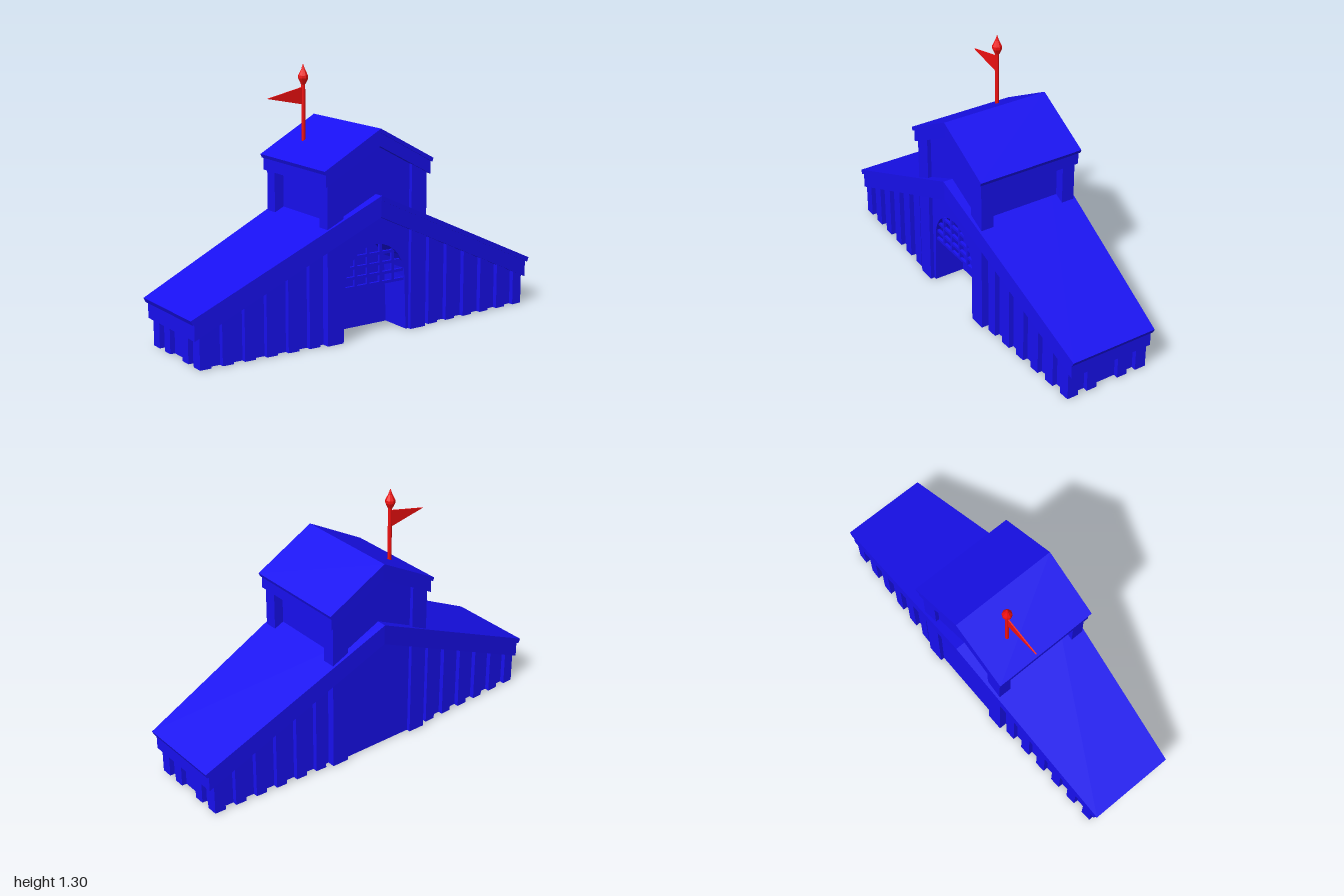
import * as THREE from 'three';

const blue = new THREE.MeshStandardMaterial({ color: 0x1810f0, flatShading: true, side: THREE.DoubleSide });
const red = new THREE.MeshStandardMaterial({ color: 0xf01010, flatShading: true, side: THREE.DoubleSide });

function part(parent, name, geometry, material = blue) {
  const mesh = new THREE.Mesh(geometry, material);
  mesh.name = name;
  parent.add(mesh);
  return mesh;
}

// Strip of quads between two matching rows of [x, y, z] points
function ribbon(a, b) {
  const pos = [];
  for (let i = 0; i < a.length - 1; i++) {
    pos.push(...a[i], ...a[i + 1], ...b[i + 1], ...a[i], ...b[i + 1], ...b[i]);
  }
  const g = new THREE.BufferGeometry();
  g.setAttribute('position', new THREE.Float32BufferAttribute(pos, 3));
  g.computeVertexNormals();
  return g;
}

// Mirrors a quarter of a floor plan ([x, z], front centre to side centre) into a loop
function planLoop(q) {
  const r = [...q].reverse();
  return [
    ...q,
    ...r.map(([x, z]) => [x, -z]),
    ...q.map(([x, z]) => [-x, -z]),
    ...r.map(([x, z]) => [-x, z]),
  ];
}

function wall(plan, bottom, top) {
  return ribbon(
    plan.map(([x, z]) => [x, bottom(x), z]),
    plan.map(([x, z]) => [x, top(x), z]),
  );
}

const shapeOf = (pts) => new THREE.Shape(pts.map(([x, y]) => new THREE.Vector2(x, y)));

// Chevron slab whose depth tapers from ridge to eaves
function gable(w, eave, ridge, wLow, eaveLow, ridgeLow, midDepth, endDepth) {
  const s = shapeOf([[-wLow, eaveLow], [0, ridgeLow], [wLow, eaveLow], [w, eave], [0, ridge], [-w, eave]]);
  const g = new THREE.ExtrudeGeometry(s, { depth: 2, bevelEnabled: false });
  const p = g.attributes.position;
  for (let i = 0; i < p.count; i++) {
    const half = THREE.MathUtils.lerp(midDepth, endDepth, Math.abs(p.getX(i)) / w);
    p.setZ(i, (p.getZ(i) - 1) * half);
  }
  g.computeVertexNormals();
  return g;
}

export function createModel() {
  const model = new THREE.Group();
  const panelZ = 0.245, postZ = 0.265;

  // Board-and-batten walls, stepping in and out along a tapering plan
  const crest = (x) => 0.262 - 0.04 * x;
  const valley = (x) => crest(x) - 0.025;
  const quarter = [[0, panelZ], [0.2, panelZ], [0.2, postZ], [0.29, postZ], [0.29, valley(0.29)]];
  for (let k = 5; k >= 0; k--) {
    const a = 0.955 - 0.115 * k, b = a - 0.057;
    quarter.push([b, valley(b)], [b, crest(b)], [a, crest(a)]);
    if (k > 0) quarter.push([a, valley(a)]);
  }
  quarter.push([0.955, 0.165], [0.93, 0.165], [0.93, 0.115], [0.955, 0.115], [0.955, 0.06], [0.93, 0.06], [0.93, 0]);
  const wallTop = (x) => 0.65 - 0.464 * Math.abs(x);
  part(model, 'barnWalls', wall(planLoop(quarter).slice(1, -1), () => 0, wallTop));

  // Arched doorway outline, left foot to right foot
  const arch = [[-0.185, 0]];
  for (let i = 0; i <= 14; i++) {
    const t = Math.PI * (1 - i / 14);
    arch.push([0.175 * Math.cos(t), 0.27 + 0.185 * Math.sin(t)]);
  }
  arch.push([0.185, 0]);

  // Front panel around the doorway, and the recess behind it
  const panel = shapeOf([[0.2, 0], [0.2, wallTop(0.2)], [0, wallTop(0)], [-0.2, wallTop(0.2)], [-0.2, 0], ...arch]);
  part(model, 'frontPanel', new THREE.ShapeGeometry(panel)).position.z = panelZ;
  const doorway = new THREE.Group();
  doorway.name = 'doorway';
  model.add(doorway);
  const backZ = 0.08;
  part(doorway, 'doorJamb', ribbon(arch.map(([x, y]) => [x, y, panelZ]), arch.map(([x, y]) => [x, y, backZ])));
  part(doorway, 'doorBack', new THREE.ShapeGeometry(shapeOf(arch))).position.z = backZ;

  // Portcullis bars clipped to the arch
  const barZ = 0.23, t = 0.014;
  for (const y of [0.255, 0.302, 0.352, 0.404]) {
    const half = 0.175 * Math.sqrt(1 - (Math.max(0, y - 0.27) / 0.185) ** 2);
    part(doorway, 'grilleCrossbar', new THREE.BoxGeometry(half * 2, t, t)).position.set(0, y, barZ);
  }
  for (const x of [-0.11, -0.037, 0.037, 0.11]) {
    const top = 0.27 + 0.185 * Math.sqrt(1 - (x / 0.175) ** 2);
    part(doorway, 'grilleBar', new THREE.BoxGeometry(t, top - 0.25, t)).position.set(x, (top + 0.25) / 2, barZ);
  }

  // Main roof and its fascia
  part(model, 'mainRoof', gable(1, 0.24, 0.7, 0.99, 0.218, 0.676, 0.296, 0.23));
  part(model, 'mainFascia', gable(0.98, 0.228, 0.68, 0.98, 0.14, 0.595, 0.292, 0.225));

  // Raised tower with corner posts
  const tower = new THREE.Group();
  tower.name = 'tower';
  model.add(tower);
  const towerPlan = planLoop([
    [0, panelZ], [0.2, panelZ], [0.2, postZ], [0.29, postZ], [0.29, 0.197], [0.24, 0.197], [0.24, 0],
  ]);
  part(tower, 'towerWalls', wall(
    towerPlan,
    (x) => 0.64 - 0.464 * Math.abs(x),
    (x) => 0.97 - 0.54 * Math.abs(x),
  ));
  part(tower, 'towerRoof', gable(0.317, 0.848, 1.02, 0.31, 0.83, 1.0, 0.285, 0.283));
  part(tower, 'towerFascia', gable(0.305, 0.838, 1.003, 0.305, 0.77, 0.935, 0.279, 0.275));

  // Flagpole with spear finial and pennant
  const flag = new THREE.Group();
  flag.name = 'flag';
  flag.position.set(-0.17, 0, -0.12);
  model.add(flag);
  part(flag, 'pole', new THREE.CylinderGeometry(0.01, 0.01, 0.32, 8), red).position.y = 1.05;
  const spear = [[0, 1.195], [0.012, 1.2], [0.025, 1.228], [0.024, 1.242], [0.01, 1.27], [0, 1.3]];
  part(flag, 'finial', new THREE.LatheGeometry(spear.map(([x, y]) => new THREE.Vector2(x, y)), 8), red);
  const cloth = shapeOf([[0, 1.187], [-0.205, 1.143], [0, 1.1]]);
  const pennant = new THREE.ExtrudeGeometry(cloth, { depth: 0.006, bevelEnabled: false });
  part(flag, 'pennant', pennant, red).position.z = -0.003;

  return model;
}
